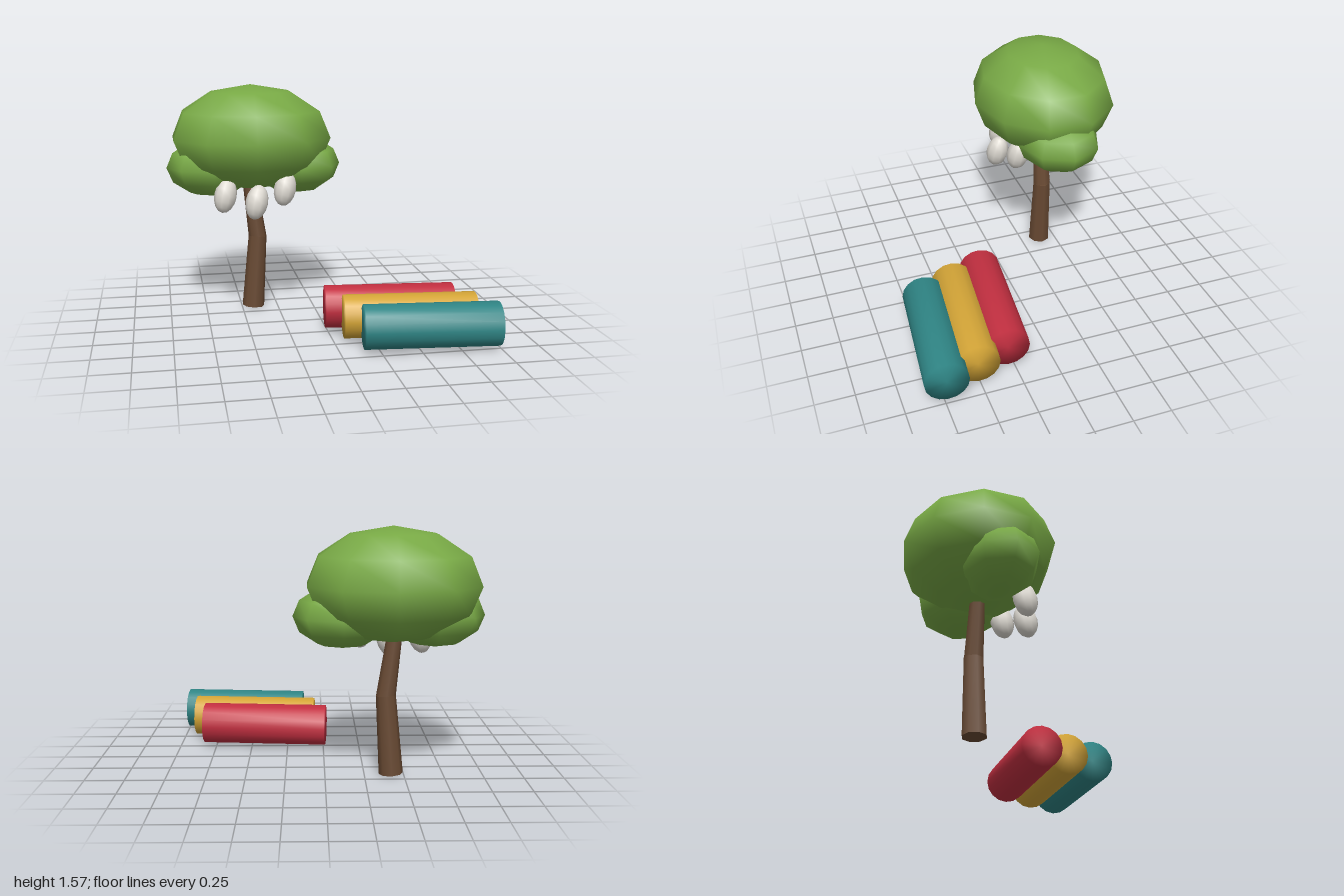
import * as THREE from 'three';
import { mergeVertices } from 'three/addons/utils/BufferGeometryUtils.js';

const material = (name, color) => {
  const m = new THREE.MeshStandardMaterial({ color });
  m.name = name;
  return m;
};

export function createModel() {
  const group = new THREE.Group();
  const leaf = material('leaf green', 0x78a945);
  const bark = material('bark brown', 0x694a33);
  const white = material('fruit white', 0xdedad2);
  const red = material('roll red', 0xc22f40);
  const gold = material('roll gold', 0xd4a537);
  const teal = material('roll teal', 0x2f8585);

  const add = (name, geometry, mat) => {
    const mesh = new THREE.Mesh(geometry, mat);
    mesh.name = name;
    group.add(mesh);
    return mesh;
  };

  // Ellipsoid with a chosen facet count
  const ellipsoid = (name, mat, pos, radii, sides, rings, phi = 0) => {
    const mesh = add(name, new THREE.SphereGeometry(1, sides, rings, phi), mat);
    mesh.position.set(...pos);
    mesh.scale.set(...radii);
    return mesh;
  };

  // Tapered cylinder between two points
  const limb = (name, mat, a, b, r0, r1) => {
    const from = new THREE.Vector3(...a);
    const dir = new THREE.Vector3(...b).sub(from);
    const mesh = add(name, new THREE.CylinderGeometry(r1, r0, dir.length(), 8), mat);
    mesh.position.copy(from).addScaledVector(dir, 0.5);
    mesh.quaternion.setFromUnitVectors(new THREE.Vector3(0, 1, 0), dir.normalize());
  };

  // Bent trunk
  limb('lowerTrunk', bark, [-0.42, 0.006, -0.39], [-0.383, 0.515, -0.39], 0.077, 0.063);
  limb('upperTrunk', bark, [-0.383, 0.505, -0.39], [-0.43, 0.87, -0.39], 0.062, 0.049);

  // Crown and its two side clumps
  ellipsoid('crown', leaf, [-0.42, 1.21, -0.39], [0.557, 0.36, 0.48], 10, 6, Math.PI / 2);
  ellipsoid('leftClump', leaf, [-0.11, 1.015, -0.39], [0.31, 0.2, 0.28], 8, 6);
  ellipsoid('rightClump', leaf, [-0.69, 1.015, -0.35], [0.31, 0.2, 0.245], 8, 6);

  // Hanging fruit
  [[-0.62, 0.85, -0.15], [-0.42, 0.815, -0.065], [-0.22, 0.885, -0.145]].forEach((p, i) => {
    const fruit = ellipsoid('fruit' + (i + 1), white, p, [0.075, 0.117, 0.075], 10, 8);
    fruit.rotation.set(-0.15, 0, -0.22);
  });

  // Three rolls lying side by side, shaded softly over their ends
  let roll = new THREE.CylinderGeometry(0.139, 0.139, 0.845, 16);
  roll.deleteAttribute('normal');
  roll.deleteAttribute('uv');
  roll = mergeVertices(roll);
  roll.computeVertexNormals();
  roll.rotateZ(Math.PI / 2);
  roll.rotateY(-0.093);
  [['redRoll', red, 0.406, 0.254], ['goldRoll', gold, 0.486, 0.474], ['tealRoll', teal, 0.567, 0.695]]
    .forEach(([name, mat, x, z]) => add(name, roll, mat).position.set(x, 0.16, z));

  return group;
}
